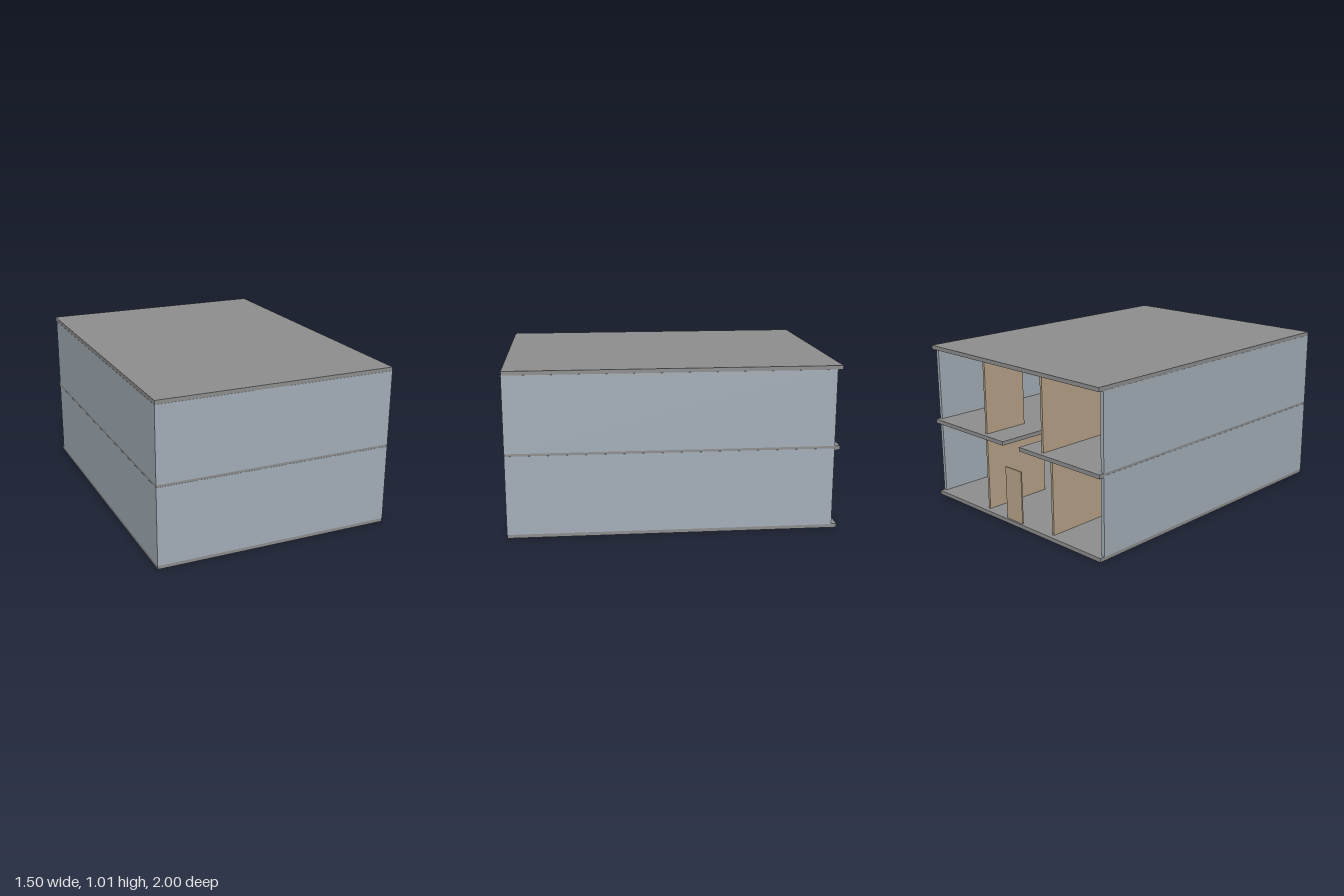
import * as THREE from 'three';

export function createModel() {
  const model = new THREE.Group();
  const concrete = new THREE.MeshStandardMaterial({ name: 'concrete', color: 0x8f8f8f });
  const wallBlue = new THREE.MeshStandardMaterial({ name: 'blue grey wall', color: 0xa5b0b9 });
  const wood = new THREE.MeshStandardMaterial({ name: 'light wood', color: 0xb9a58a });

  // Box given by its lower and upper limits on each axis
  const block = (name, material, [x0, x1], [y0, y1], [z0, z1]) => {
    const mesh = new THREE.Mesh(new THREE.BoxGeometry(x1 - x0, y1 - y0, z1 - z0), material);
    mesh.position.set((x0 + x1) / 2, (y0 + y1) / 2, (z0 + z1) / 2);
    mesh.name = name;
    model.add(mesh);
  };

  const W = 0.75, back = -0.968, t = 0.022, lip = 0.001;

  // Ground slab and roof
  block('groundSlab', concrete, [-W, W], [0, 0.025], [-1, 1]);
  block('roofSlab', concrete, [-W, W], [0.985, 1.01], [-1, 1]);

  // Middle floor with a stairwell notch at the open back
  const n = 0.075, depth = -0.4;
  const plan = new THREE.Shape([
    [-W, -1], [W, -1], [W, 1], [n, 1], [n, -depth], [-n, -depth], [-n, 1], [-W, 1],
  ].map(([x, y]) => new THREE.Vector2(x, y)));
  const floorGeometry = new THREE.ExtrudeGeometry(plan, { depth: 0.025, bevelEnabled: false });
  floorGeometry.rotateX(-Math.PI / 2);
  const floor = new THREE.Mesh(floorGeometry, concrete);
  floor.position.y = 0.495;
  floor.name = 'middleFloor';
  model.add(floor);

  // Outer walls of each storey, a hair proud of the slab edges
  for (const [storey, y] of [['lower', [0.022, 0.505]], ['upper', [0.52, 0.986]]]) {
    block(storey + 'FrontWall', wallBlue, [-W - lip, W + lip], y, [1 - t, 1 + lip]);
    block(storey + 'LeftWall', wallBlue, [W - t, W + lip], y, [back, 1 - t]);
    block(storey + 'RightWall', wallBlue, [-W - lip, -W + t], y, [back, 1 - t]);
  }

  // Room partitions: x centre, storey heights, far end
  const lower = [0.025, 0.495], upper = [0.52, 0.985];
  for (const [name, x, y, end] of [
    ['lowerLeftPartition', 0.27, lower, -0.51],
    ['lowerRightPartition', -0.325, lower, -0.49],
    ['upperLeftPartition', 0.27, upper, -0.67],
    ['upperRightPartition', -0.25, upper, -0.41],
  ]) block(name, wood, [x - 0.008, x + 0.008], y, [back, end]);

  // Entrance door
  block('door', wood, [-0.072, 0.072], [0.025, 0.36], [-0.988, -0.98]);

  return model;
}
